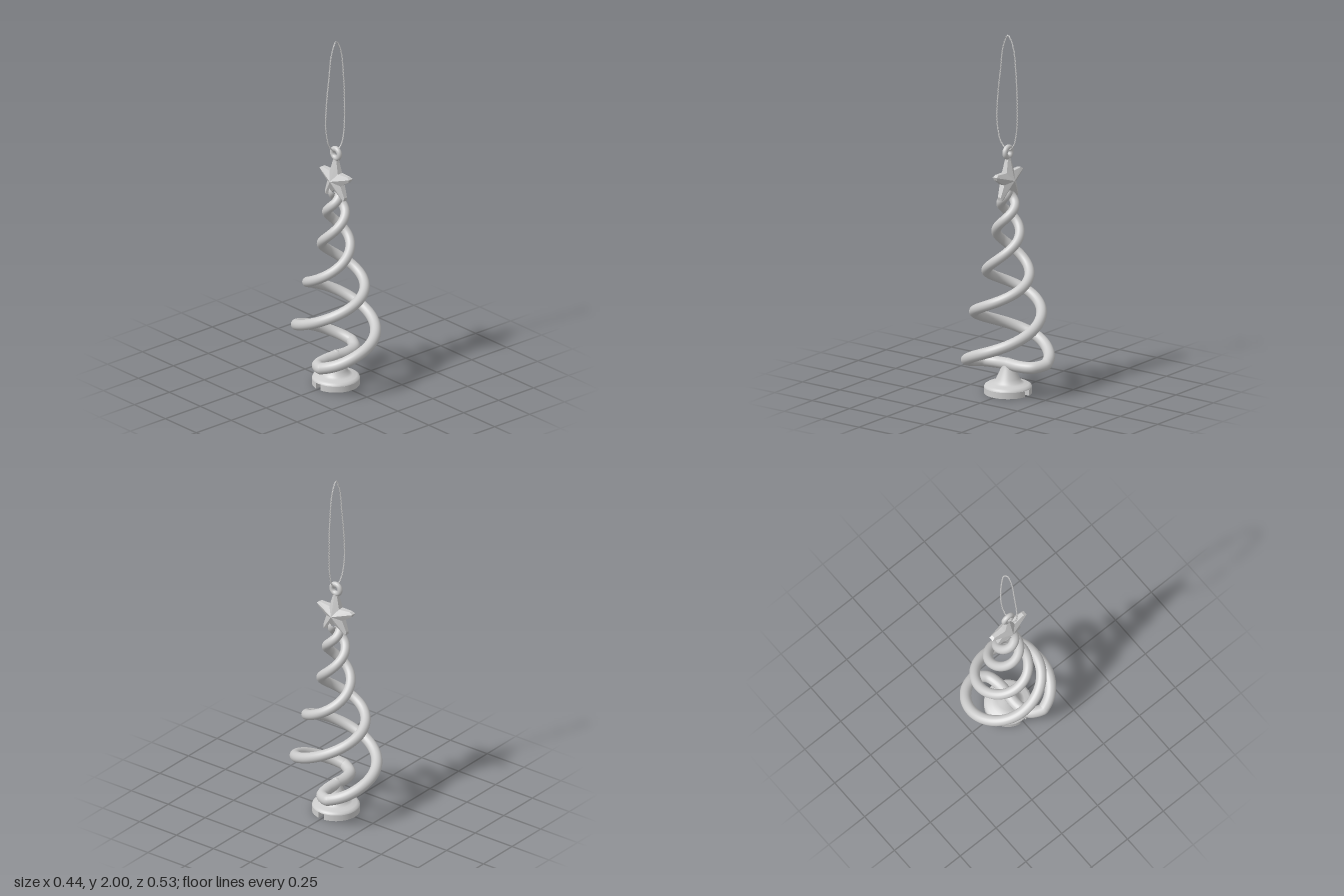
import * as THREE from 'three';

const V = (x, y, z) => new THREE.Vector3(x, y, z);
const material = new THREE.MeshStandardMaterial({ color: 0xcccccc, roughness: 0.6 });

function add(parent, name, geometry) {
  const mesh = new THREE.Mesh(geometry, material);
  mesh.name = name;
  parent.add(mesh);
  return mesh;
}

// One spiral arm: leaves the post, turns outward, then winds up to the star
function spiralGeometry() {
  // quarter turns, distance from axis, height
  const profile = [
    [0.28, 0.208, 0.168], [0.55, 0.226, 0.2], [1, 0.234, 0.27], [2, 0.187, 0.4],
    [3, 0.172, 0.53], [4, 0.13, 0.645], [5, 0.088, 0.765], [6, 0.069, 0.87],
    [7, 0.055, 0.965], [8, 0.043, 1.04], [9, 0.024, 1.1], [9.5, 0.01, 1.13],
  ].map(p => V(...p));
  const winding = new THREE.CatmullRomCurve3(profile).getPoints(110).map(p => {
    const a = p.x * Math.PI / 2;
    return V(p.y * Math.cos(a), p.z, -p.y * Math.sin(a));
  });
  const path = new THREE.CatmullRomCurve3([
    V(0, 0.16, 0), V(0.08, 0.157, 0), V(0.15, 0.158, -0.022), ...winding,
  ]);
  const geo = new THREE.TubeGeometry(path, 320, 0.032, 20);
  // thin the tube slightly towards the top
  const pos = geo.attributes.position, nor = geo.attributes.normal, uv = geo.attributes.uv;
  for (let i = 0; i < pos.count; i++) {
    const d = -0.007 * uv.getX(i);
    pos.setXYZ(i, pos.getX(i) + d * nor.getX(i), pos.getY(i) + d * nor.getY(i), pos.getZ(i) + d * nor.getZ(i));
  }
  return geo;
}

// Five-pointed star facing +-x: blunt rim, ridged faces rising to the middle
function starGeometry() {
  const rim = [];
  for (let i = 0; i < 5; i++) {
    const a = Math.PI / 2 + i * Math.PI * 2 / 5;
    for (const [da, r, t] of [[-0.13, 0.113, 0.01], [0, 0.125, 0.014], [0.13, 0.113, 0.01], [Math.PI / 5, 0.056, 0.016]])
      rim.push({ z: r * Math.cos(a + da), y: r * Math.sin(a + da), t });
  }
  const verts = [];
  const tri = (a, b, c) => verts.push(...a, ...b, ...c);
  rim.forEach((p, i) => {
    const q = rim[(i + 1) % rim.length];
    const pa = [p.t, p.y, p.z], pb = [-p.t, p.y, p.z], qa = [q.t, q.y, q.z], qb = [-q.t, q.y, q.z];
    tri([0.045, 0, 0], qa, pa);
    tri([-0.045, 0, 0], pb, qb);
    tri(pa, qa, qb);
    tri(pa, qb, pb);
  });
  const geo = new THREE.BufferGeometry();
  geo.setAttribute('position', new THREE.Float32BufferAttribute(verts, 3));
  geo.computeVertexNormals();
  return geo;
}

// Hanging loop made of two twisted threads
function threadGeometry(phase) {
  const loop = new THREE.CatmullRomCurve3([
    [0, 1.357], [-0.045, 1.392], [-0.073, 1.5], [-0.069, 1.64], [-0.05, 1.8], [-0.032, 1.93],
    [0, 1.996], [0.033, 1.94], [0.053, 1.79], [0.061, 1.6], [0.056, 1.46], [0.036, 1.385],
  ].map(([x, y]) => V(x, y, 0)), true);
  const n = 480, points = [];
  for (let i = 0; i < n; i++) {
    const t = loop.getTangentAt(i / n), a = phase + i / n * 40 * Math.PI * 2;
    points.push(loop.getPointAt(i / n).add(V(-t.y * Math.cos(a), t.x * Math.cos(a), Math.sin(a)).multiplyScalar(0.002)));
  }
  return new THREE.TubeGeometry(new THREE.CatmullRomCurve3(points, true), 960, 0.0024, 6, true);
}

export function createModel() {
  const model = new THREE.Group();
  model.name = 'spiralTreeOrnament';

  // Base: slotted foot in two halves, flared post above
  const base = new THREE.Group();
  base.name = 'base';
  model.add(base);
  const R = 0.129, slot = 0.018, slotTop = 0.034;
  const a0 = Math.asin(slot / R);
  for (const side of [0, 1]) {
    const segment = new THREE.Shape();
    segment.absarc(0, 0, R, a0, Math.PI - a0, false);
    segment.closePath();
    const foot = add(base, 'footHalf',
      new THREE.ExtrudeGeometry(segment, { depth: slotTop, bevelEnabled: false, curveSegments: 40 }));
    foot.rotation.set(-Math.PI / 2, 0, side * Math.PI);
  }
  const post = [[0, 0.034], [0.129, 0.034], [0.129, 0.034], [0.126, 0.043], [0.113, 0.051], [0.088, 0.056],
    [0.073, 0.064], [0.062, 0.083], [0.051, 0.108], [0.04, 0.132], [0.032, 0.155], [0.026, 0.178], [0.015, 0.19], [0, 0.194]];
  add(base, 'post', new THREE.LatheGeometry(post.map(p => new THREE.Vector2(...p)), 56));

  // Two interwound arms, half a turn apart
  const arm = spiralGeometry();
  for (const turn of [0, Math.PI]) add(model, 'spiralArm', arm).rotation.y = turn;

  // Star with hanging eye
  add(model, 'star', starGeometry()).position.y = 1.19;
  const eye = add(model, 'hangingEye', new THREE.TorusGeometry(0.027, 0.0145, 16, 40));
  eye.position.y = 1.344;
  eye.rotation.y = Math.PI / 2;
  add(model, 'eyeNeck', new THREE.CylinderGeometry(0.014, 0.022, 0.06, 20)).position.y = 1.285;

  // Cord
  const cord = new THREE.Group();
  cord.name = 'cord';
  model.add(cord);
  for (const phase of [0, Math.PI]) add(cord, 'thread', threadGeometry(phase));

  return model;
}
